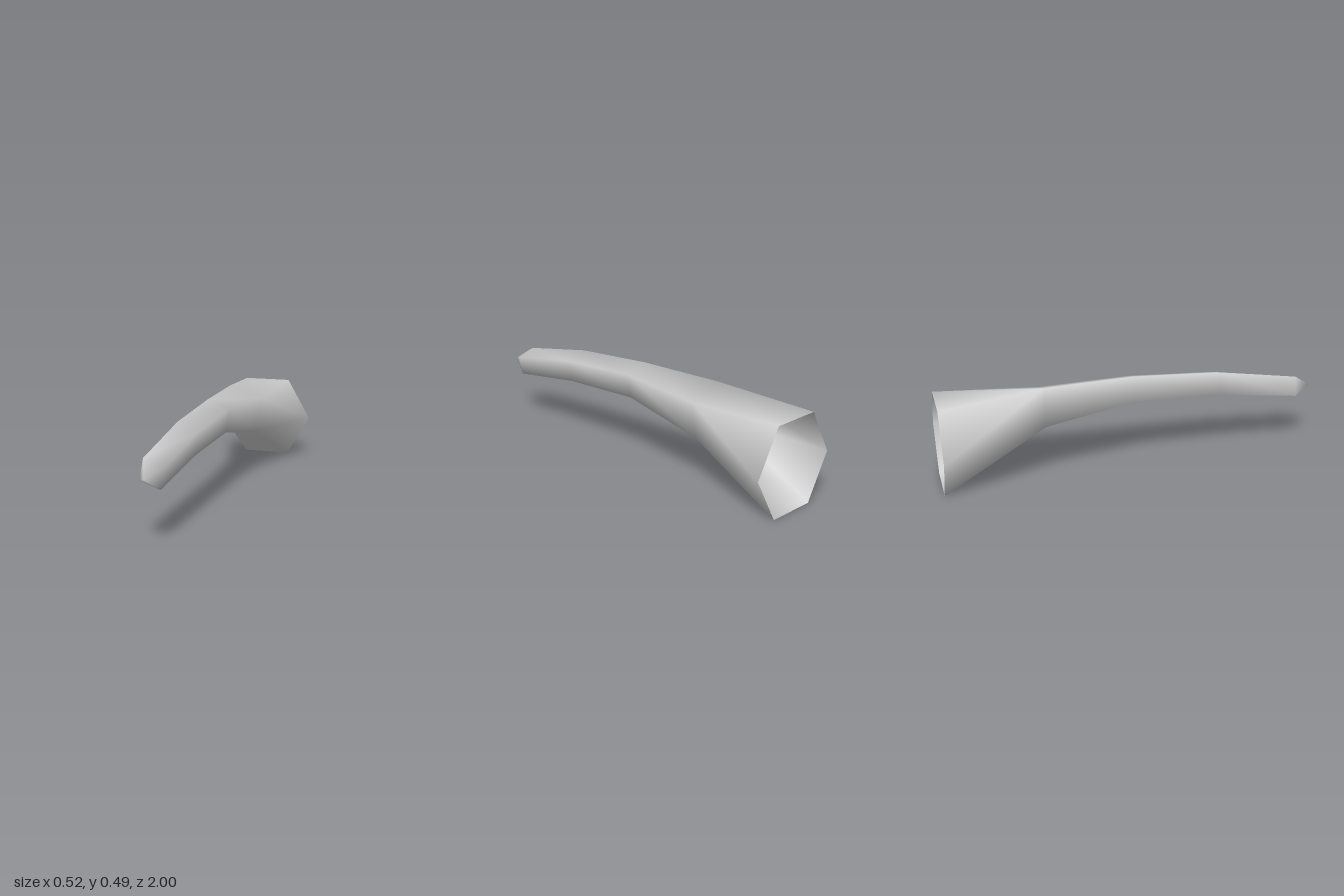
import * as THREE from 'three';

export function createModel() {
  const group = new THREE.Group();
  const grey = new THREE.MeshStandardMaterial({ color: 0xcccccc, side: THREE.DoubleSide });
  grey.name = 'pale grey';

  const positions = [];
  const indices = [];

  // Open six-sided mouth at the back
  const R = 0.262;
  for (let i = 0; i < 6; i++) {
    const a = (i * Math.PI) / 3;
    positions.push(R * Math.cos(a), 0.228 + R * Math.sin(a), -1);
  }

  // Four-sided sections along the bend: z, centre height, half-diagonals u and v
  const sections = [
    [-0.475, 0.365, 0.11, 0.065, -0.075, 0.128],
    [0, 0.41, 0.072, 0.044, -0.05, 0.084],
    [0.46, 0.387, 0.067, 0.04, -0.045, 0.078],
    [0.9, 0.322, 0.06, 0.034, -0.04, 0.069],
  ];
  for (const [z, y, ux, uy, vx, vy] of sections) {
    positions.push(ux, y + uy, z, vx, y + vy, z, -ux, y - uy, z, -vx, y - vy, z);
  }
  const corner = (s, i) => 6 + s * 4 + (i % 4);

  // Flare: each mouth edge meets its nearest corner, then the gaps are filled
  [0, 1, 1, 2, 3, 3].forEach((q, i) => indices.push(i, (i + 1) % 6, corner(0, q)));
  [1, 3, 4, 0].forEach((m, q) => indices.push(m, corner(0, q + 1), corner(0, q)));

  // Shaft
  for (let s = 0; s < sections.length - 1; s++) {
    for (let i = 0; i < 4; i++) {
      const a = corner(s, i), b = corner(s, i + 1);
      const c = corner(s + 1, i + 1), d = corner(s + 1, i);
      indices.push(a, b, c, a, c, d);
    }
  }

  // Pointed tip
  const tip = positions.length / 3;
  positions.push(0, 0.322, 1);
  for (let i = 0; i < 4; i++) indices.push(corner(3, i), corner(3, i + 1), tip);

  const geometry = new THREE.BufferGeometry();
  geometry.setAttribute('position', new THREE.Float32BufferAttribute(positions, 3));
  geometry.setIndex(indices);
  geometry.computeVertexNormals();

  const horn = new THREE.Mesh(geometry, grey);
  horn.name = 'horn';
  group.add(horn);
  return group;
}
